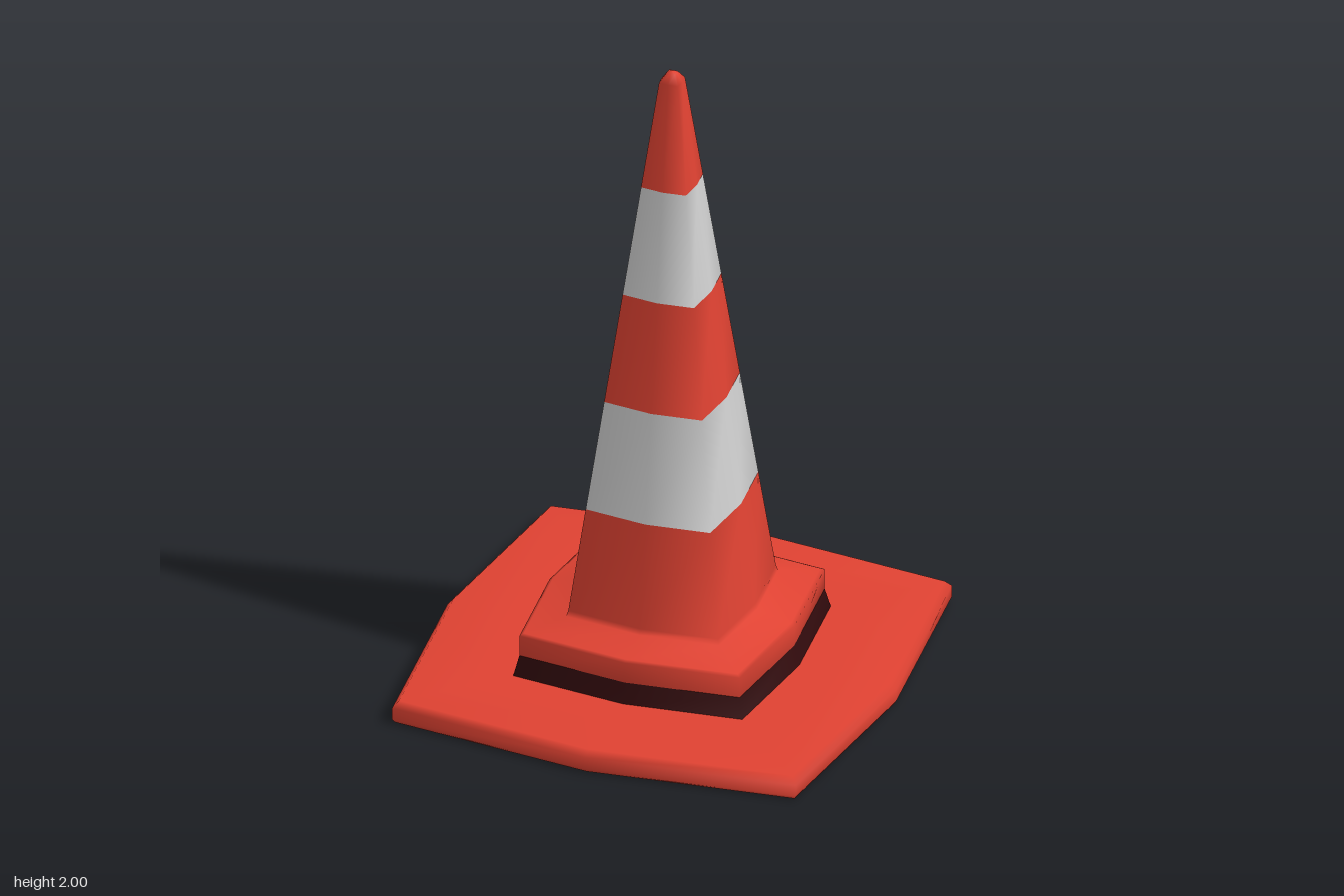
import * as THREE from 'three';

const CORNER = 0.9; // corner offset relative to the mid-side bulge

// Smooth loft through bulged-square rings given as [halfWidth, y], bottom to top
function loft(rings) {
  const pos = [], index = [];
  for (const [r, y] of rings) {
    for (let i = 0; i < 8; i++) {
      const a = (i * Math.PI) / 4;
      const d = i % 2 ? r * CORNER * Math.SQRT2 : r;
      pos.push(Math.sin(a) * d, y, Math.cos(a) * d);
    }
  }
  for (let k = 0; k < rings.length - 1; k++) {
    for (let i = 0; i < 8; i++) {
      const a = k * 8 + i, b = k * 8 + ((i + 1) % 8);
      if (rings[k][0] > 0) index.push(a, b, b + 8);
      if (rings[k + 1][0] > 0) index.push(a, b + 8, a + 8);
    }
  }
  // Closed ends: each pole fan is completed by the remaining triangle
  const g = new THREE.BufferGeometry();
  g.setAttribute('position', new THREE.Float32BufferAttribute(pos, 3));
  g.setIndex(index);
  g.computeVertexNormals();
  return g;
}

// Half-width of the tapering body at height y
const bodyAt = (y) => THREE.MathUtils.mapLinear(y, 0.23, 1.97, 0.265, 0.033);

export function createModel() {
  const material = (name, color) => {
    const m = new THREE.MeshStandardMaterial({ color });
    m.name = name;
    return m;
  };
  const red = material('signal red', 0xe04232);
  const grey = material('reflective grey', 0xd0d0d0);
  const dark = material('dark maroon', 0x320b0d);

  const group = new THREE.Group();
  group.name = 'trafficCone';
  const add = (name, mat, rings) => {
    const mesh = new THREE.Mesh(loft(rings), mat);
    mesh.name = name;
    group.add(mesh);
  };

  // Foot plate with a softly rounded rim
  add('basePlate', red, [
    [0, 0], [0.52, 0], [0.7, 0], [0.708, 0.012], [0.708, 0.05], [0.69, 0.07], [0.5, 0.07], [0.38, 0.07],
  ]);

  // Dark recessed band between plate and collar
  add('darkBand', dark, [[0.402, 0.068], [0.386, 0.134]]);

  // Collar blending into the lowest part of the body
  add('collarAndLowerBody', red, [
    [0.37, 0.132], [0.386, 0.133], [0.386, 0.2], [0.375, 0.206], [0.268, 0.232],
    [bodyAt(0.25), 0.25], [bodyAt(0.58), 0.58],
  ]);

  // Alternating stripes up the body
  const levels = [0.58, 0.93, 1.28, 1.63];
  for (let i = 0; i < 3; i++) {
    const [y0, y1] = [levels[i], levels[i + 1]];
    add(i % 2 ? 'redStripe' : 'greyStripe', i % 2 ? red : grey, [[bodyAt(y0), y0], [bodyAt(y1), y1]]);
  }

  // Blunt tip
  add('tip', red, [[bodyAt(1.63), 1.63], [bodyAt(1.97), 1.97], [0.015, 1.996], [0, 2]]);

  return group;
}
